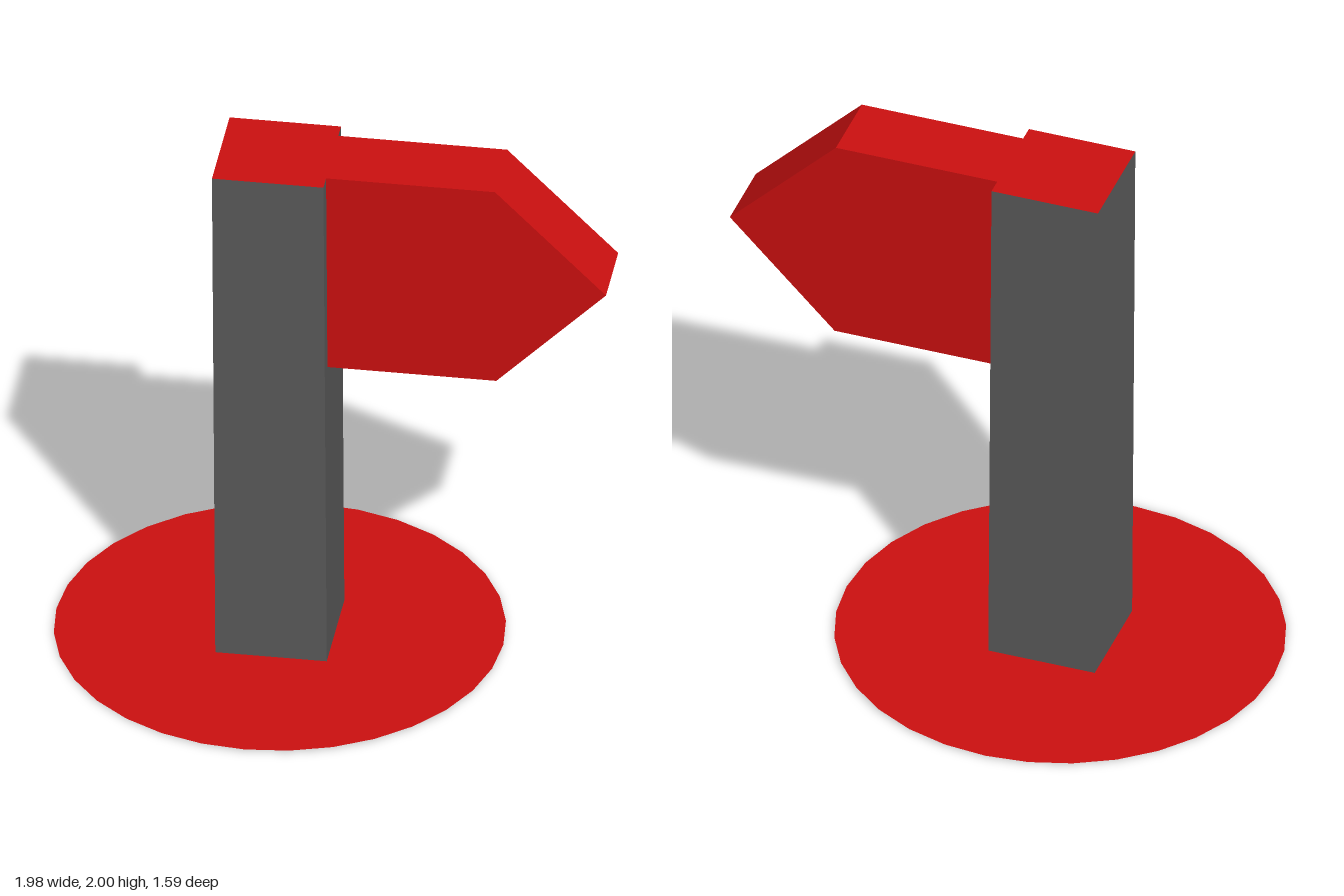
import * as THREE from 'three';

export function createModel() {
  const model = new THREE.Group();
  model.name = 'signpost';

  const red = new THREE.MeshStandardMaterial({ color: 0xcc1010, flatShading: true });
  const grey = new THREE.MeshStandardMaterial({ color: 0x5a5a5a, flatShading: true });
  const sheetRed = red.clone();
  sheetRed.side = THREE.DoubleSide;

  // The whole sign leans and turns very slightly about the foot of the post
  const sign = new THREE.Group();
  sign.name = 'tiltedSign';
  sign.position.set(-0.198, 0.006, 0);
  sign.rotation.set(0, -0.015, 0.006);
  model.add(sign);

  const add = (name, geometry, material) => {
    const mesh = new THREE.Mesh(geometry, material);
    mesh.name = name;
    sign.add(mesh);
    return mesh;
  };

  // Flat round base
  add('base', new THREE.CircleGeometry(0.794, 32).rotateX(-Math.PI / 2), sheetRed);

  // Square post, grey with a red top face
  const height = 1.99;
  const post = new THREE.BoxGeometry(0.396, height - 0.002, 0.396);
  post.translate(0, height / 2 + 0.001, 0);
  add('post', post, [grey, grey, red, grey, grey, grey]);

  // Pointed board on the post's left side, flush with its top
  const depth = 0.275;
  const outline = new THREE.Shape([
    [0.198, 1.198], [0.798, 1.198], [1.19, 1.594], [0.798, height], [0.198, height],
  ].map(([x, y]) => new THREE.Vector2(x, y)));
  const board = new THREE.ExtrudeGeometry(outline, { depth, bevelEnabled: false });
  board.translate(0, 0, -depth / 2);
  add('arrowBoard', board, red);

  return model;
}
